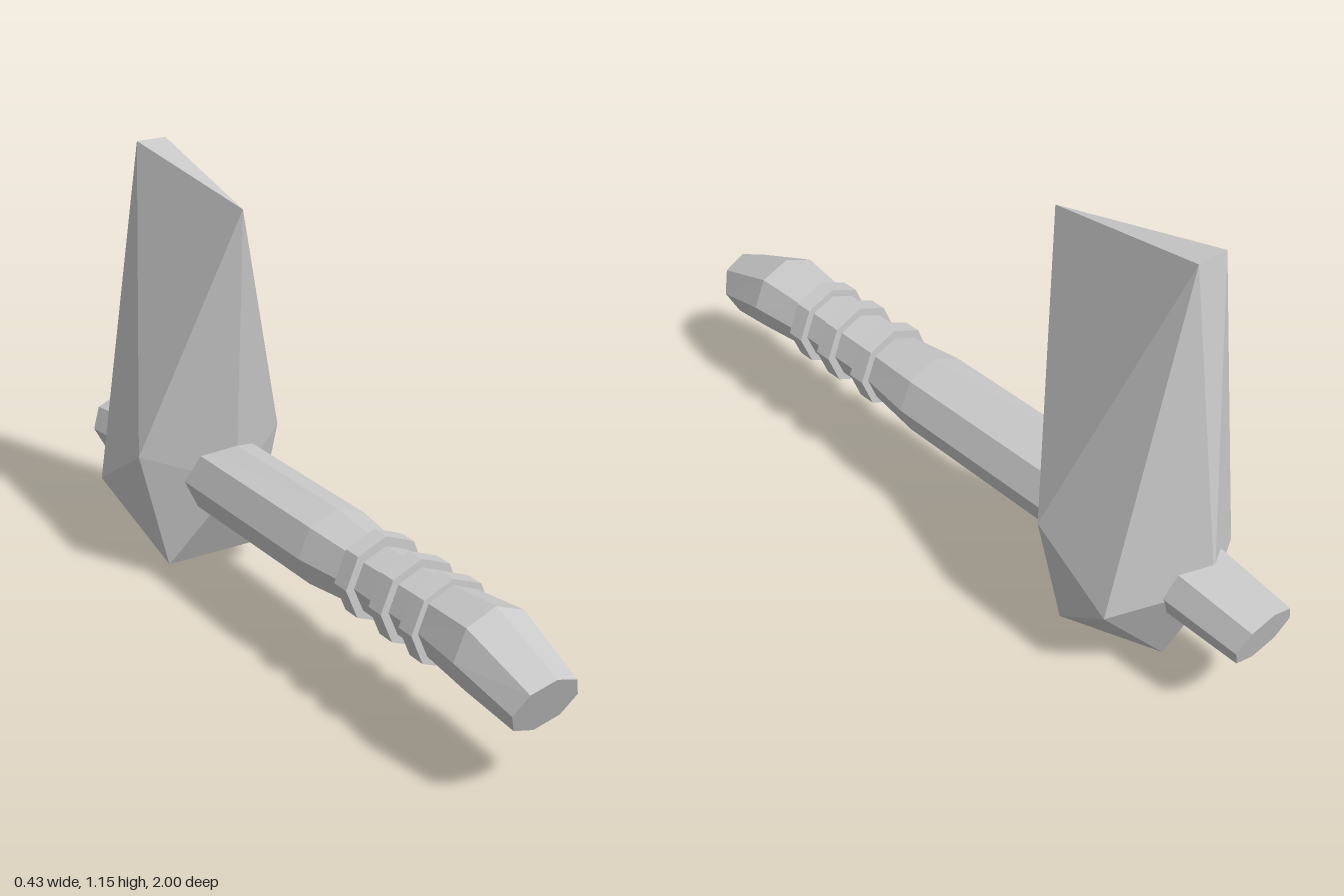
import * as THREE from 'three';

const SIDES = 8;
const material = new THREE.MeshStandardMaterial({ color: 0xcccccc, flatShading: true });

function makeMesh(name, positions, index) {
  let geometry = new THREE.BufferGeometry();
  geometry.setAttribute('position', new THREE.Float32BufferAttribute(positions, 3));
  geometry.setIndex(index);
  geometry = geometry.toNonIndexed();
  geometry.computeVertexNormals();
  const mesh = new THREE.Mesh(geometry, material);
  mesh.name = name;
  return mesh;
}

// Skin capped octagonal sections, listed from front to back.
// Each section: z, centre y, half width, half height, z lean of its top corner.
function loft(name, sections) {
  const positions = [], index = [];
  for (const [z, y, rx, ry, lean] of sections) {
    for (let i = 0; i < SIDES; i++) {
      const a = (i / SIDES) * Math.PI * 2;
      positions.push(rx * Math.sin(a), y + ry * Math.cos(a), z + lean * Math.cos(a));
    }
  }
  for (let s = 0; s < sections.length - 1; s++) {
    for (let i = 0; i < SIDES; i++) {
      const a = s * SIDES + i, b = s * SIDES + ((i + 1) % SIDES);
      index.push(a, b, a + SIDES, b, b + SIDES, a + SIDES);
    }
  }
  const last = (sections.length - 1) * SIDES;
  for (let i = 1; i < SIDES - 1; i++) {
    index.push(0, i + 1, i);
    index.push(last, last + i, last + i + 1);
  }
  return makeMesh(name, positions, index);
}

// Faceted wedge: faces given for the +x half, mirrored to -x.
function createHead() {
  const p = {
    frontTip: [0, 1.07, -0.27],
    backTip: [0.043, 1.15, -0.74],
    front: [0, 0.31, -0.32],
    back: [0, 0.3, -0.823],
    cheekFront: [0.215, 0.383, -0.46],
    cheekBack: [0.215, 0.24, -0.685],
    chin: [0.133, 0.047, -0.46],
    keel: [0, 0, -0.68],
  };
  const sideFaces = [
    ['frontTip', 'front', 'cheekFront'],
    ['frontTip', 'cheekFront', 'backTip'],
    ['cheekFront', 'cheekBack', 'backTip'],
    ['backTip', 'cheekBack', 'back'],
    ['front', 'chin', 'cheekFront'],
    ['cheekFront', 'chin', 'cheekBack'],
    ['chin', 'keel', 'cheekBack'],
    ['cheekBack', 'keel', 'back'],
  ];
  const triangles = [];
  const mirror = ([x, y, z]) => [-x, y, z];
  for (const face of sideFaces) {
    const t = face.map((key) => p[key]);
    triangles.push(t, t.map(mirror));
  }
  // Faces that span the centre line
  triangles.push([p.frontTip, p.backTip, mirror(p.backTip)]);
  triangles.push([p.back, p.backTip, mirror(p.backTip)]);
  triangles.push([p.front, p.chin, mirror(p.chin)]);
  triangles.push([p.keel, p.chin, mirror(p.chin)]);

  // Turn every face outward from the middle of the head
  const middle = new THREE.Vector3(0, 0.45, -0.56);
  const positions = [], normal = new THREE.Vector3();
  for (const t of triangles) {
    const [a, b, c] = t.map((v) => new THREE.Vector3(...v));
    new THREE.Triangle(a, b, c).getNormal(normal);
    const outward = normal.dot(a.clone().sub(middle)) > 0;
    positions.push(...(outward ? [a, b, c] : [a, c, b]).flatMap((v) => v.toArray()));
  }
  return makeMesh('head', positions, [...Array(positions.length / 3).keys()]);
}

export function createModel() {
  const model = new THREE.Group();
  model.name = 'hammer';

  // Handle with a drooping pommel, pinched grip and a stub behind the head
  model.add(loft('handle', [
    [0.965, 0.272, 0.09, 0.079, 0.035],
    [0.785, 0.323, 0.113, 0.108, 0],
    [0.6, 0.32, 0.092, 0.092, 0],
    [0.34, 0.316, 0.09, 0.089, 0],
    [0.16, 0.315, 0.113, 0.107, 0],
    [-0.5, 0.311, 0.113, 0.108, 0],
    [-0.975, 0.258, 0.09, 0.08, -0.025],
  ]));

  // Grip bands
  const bands = new THREE.Group();
  bands.name = 'gripBands';
  for (const z of [0.605, 0.485, 0.343]) {
    bands.add(loft('gripBand', [
      [z + 0.025, 0.318, 0.113, 0.113, 0],
      [z - 0.025, 0.318, 0.113, 0.113, 0],
    ]));
  }
  model.add(bands);

  model.add(createHead());
  return model;
}
